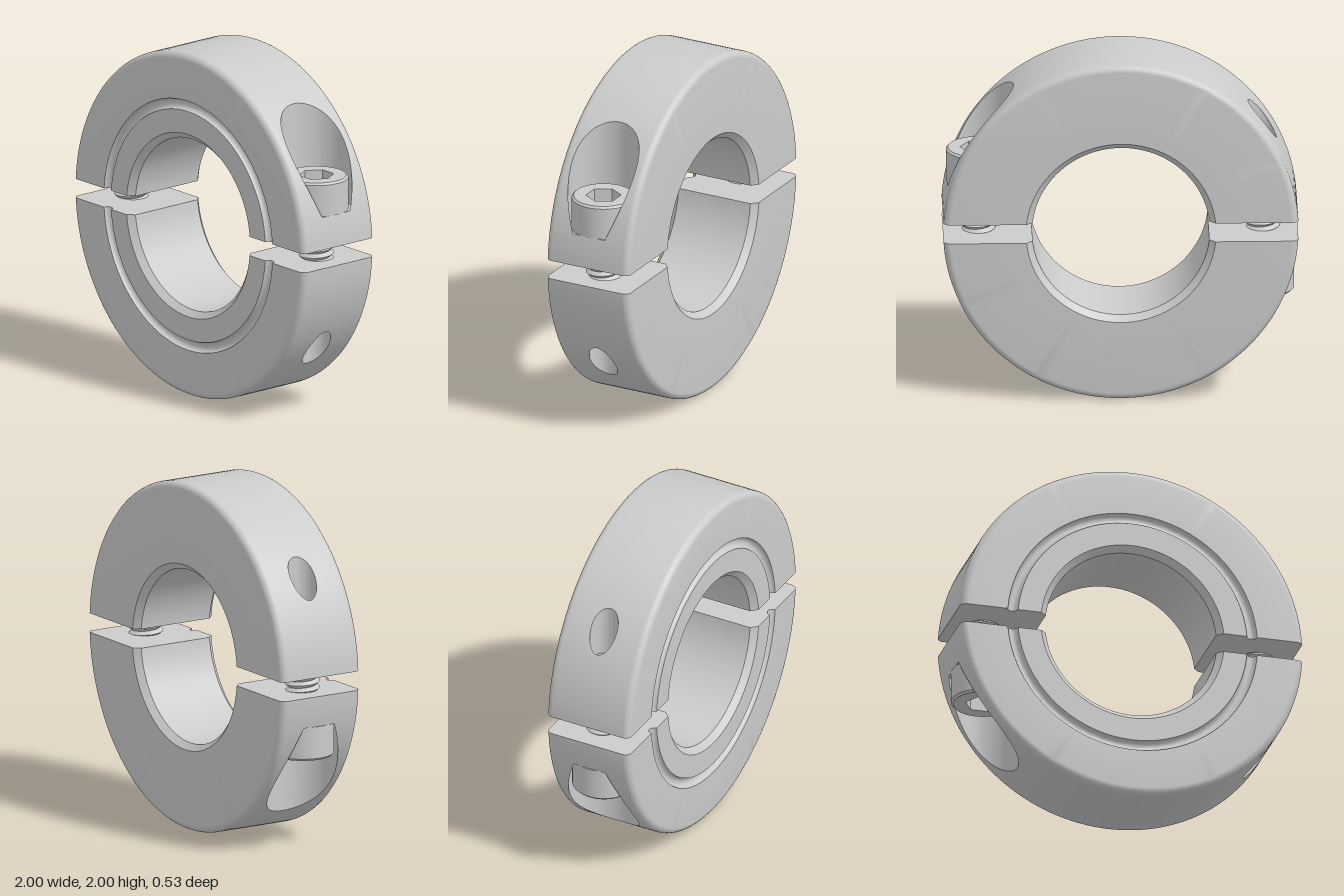
import * as THREE from 'three';
import { mergeGeometries, toCreasedNormals } from 'three/addons/utils/BufferGeometryUtils.js';

const GAP = 0.055;                 // half of the slit between the halves
const W = 0.265, FILLET = 0.04;    // half width, rounded outer edge
const SIDE = W - FILLET;           // half width of the straight outer wall
const BORE = 0.5, CHAMFER = 0.035;
const BOLT_X = 0.8, FLOOR = 0.235; // screw axis and pocket floor
const POCKET_R = 0.2, HOLE_R = 0.08;
const N = 28;                      // samples along half of a hole rim

const material = new THREE.MeshStandardMaterial({ color: 0xcccccc });

function mesh(name, geometry) {
  const m = new THREE.Mesh(geometry, material);
  m.name = name;
  return m;
}

function quad(out, a, b, c, d) {
  out.push(...a, ...b, ...c, ...a, ...c, ...d);
}

function smooth(positions) {
  const g = new THREE.BufferGeometry();
  g.setAttribute('position', new THREE.Float32BufferAttribute(positions, 3));
  return toCreasedNormals(g, 0.5);
}

// angles round a vertical hole, from its outer end (start) to its inner end
const rim = (start, end) => Array.from({ length: N + 1 }, (_, i) => start + (end - start) * i / N);
const phi0 = Math.acos((Math.sqrt(1 - FLOOR * FLOOR) - BOLT_X) / POCKET_R);

// vertical bores that break through the outer wall
const bores = [
  { name: 'screwPocketWall', x: BOLT_X, r: POCKET_R, start: phi0, bottom: FLOOR },
  { name: 'threadedHoleWall', x: -BOLT_X, r: HOLE_R, start: 0, bottom: GAP },
];
for (const b of bores) {
  b.thetas = rim(b.start, Math.PI).map(p => Math.acos(b.x + b.r * Math.cos(p))).sort((p, q) => p - q);
  b.from = b.thetas[0];
  b.to = b.thetas[N];
}

// ring cross-section as [radius, z], from the outer front edge round to the outer back edge
function ringProfile() {
  const p = [];
  const arc = (r, z, rad, a0, a1, n) => {
    for (let i = 0; i <= n; i++) {
      const a = a0 + (a1 - a0) * i / n;
      p.push([r + rad * Math.cos(a), z + rad * Math.sin(a)]);
    }
  };
  arc(1 - FILLET, SIDE, FILLET, 0, Math.PI / 2, 6);
  arc(0.7, W, 0.03, 0, -Math.PI, 10); // round groove in the front face
  p.push([BORE + CHAMFER, W], [BORE, W - CHAMFER], [BORE, CHAMFER - W], [BORE + CHAMFER, -W]);
  arc(1 - FILLET, -SIDE, FILLET, -Math.PI / 2, 0, 6);
  return p;
}

function ringBody() {
  const profile = ringProfile();
  const start = Math.asin(GAP);
  const span = Math.PI - 2 * start;
  const inside = (t, b) => t > b.from && t < b.to;
  let thetas = Array.from({ length: 73 }, (_, i) => start + span * i / 72)
    .filter(t => !bores.some(b => inside(t, b)));
  thetas = thetas.concat(...bores.map(b => b.thetas)).sort((a, b) => a - b);

  // every radius starts on the flat slit plane
  const at = (theta, [r, z]) => {
    const s = Math.asin(GAP / r);
    const a = s + (Math.PI - 2 * s) * (theta - start) / span;
    return [r * Math.cos(a), r * Math.sin(a), z];
  };
  const halfOpening = (t, b) =>
    Math.sqrt(Math.max(0, b.r * b.r - (Math.cos(t) - b.x) ** 2));

  const pos = [];
  for (let i = 0; i + 1 < thetas.length; i++) {
    const a = thetas[i], b = thetas[i + 1];
    const strip = (za0, zb0, za1, zb1) =>
      quad(pos, at(a, [1, za0]), at(b, [1, zb0]), at(b, [1, zb1]), at(a, [1, za1]));
    // outer wall, left open where a bore breaks through
    const bore = bores.find(h => inside((a + b) / 2, h));
    if (bore) {
      const ha = halfOpening(a, bore), hb = halfOpening(b, bore);
      strip(-SIDE, -SIDE, -ha, -hb);
      strip(ha, hb, SIDE, SIDE);
    } else strip(-SIDE, -SIDE, SIDE, SIDE);
    // faces, groove and bore
    for (let j = 0; j + 1 < profile.length; j++)
      quad(pos, at(a, profile[j]), at(b, profile[j]), at(b, profile[j + 1]), at(a, profile[j + 1]));
  }
  return smooth(pos);
}

function slitFace(side) {
  const pts = ringProfile().map(([r, z]) => new THREE.Vector2(side * Math.sqrt(r * r - GAP * GAP), z));
  return new THREE.ShapeGeometry(new THREE.Shape(pts)).rotateX(Math.PI / 2).translate(0, GAP, 0);
}

function boreWall(b) {
  const half = rim(b.start, Math.PI);
  const angles = half.concat(half.slice(0, -1).reverse().map(p => 2 * Math.PI - p));
  const pos = [];
  const at = (p, top) => {
    const x = b.x + b.r * Math.cos(p);
    return [x, top ? Math.sqrt(1 - x * x) : b.bottom, b.r * Math.sin(p)];
  };
  for (let i = 0; i + 1 < angles.length; i++) {
    const p = angles[i], q = angles[i + 1];
    quad(pos, at(p, false), at(q, false), at(q, true), at(p, true));
  }
  return smooth(pos);
}

function pocketFloor() {
  const shape = new THREE.Shape();
  shape.absarc(BOLT_X, 0, POCKET_R, phi0, 2 * Math.PI - phi0, false);
  return new THREE.ShapeGeometry(shape, 2 * N).rotateX(-Math.PI / 2).translate(0, FLOOR, 0);
}

const lathe = (pts, n) =>
  toCreasedNormals(new THREE.LatheGeometry(pts.map(p => new THREE.Vector2(...p)), n), 0.5);

function capScrew() {
  const g = new THREE.Group();
  g.name = 'capScrew';
  const top = 0.43, socket = 0.1;

  // head side and hexagon socket
  g.add(mesh('screwHead', lathe([[0, FLOOR], [0.18, FLOOR], [0.18, top - 0.012], [0.168, top]], 48)));
  const face = new THREE.Shape().absarc(0, 0, 0.168, 0, 2 * Math.PI, false);
  const hex = Array.from({ length: 6 }, (_, i) =>
    new THREE.Vector2(socket * Math.cos(i * Math.PI / 3), socket * Math.sin(i * Math.PI / 3)));
  face.holes.push(new THREE.Path(hex));
  const headTop = new THREE.ExtrudeGeometry(face, { depth: 0.1, bevelEnabled: false, curveSegments: 24 });
  g.add(mesh('screwHeadTop', headTop.rotateX(-Math.PI / 2).translate(0, top - 0.1, 0)));
  const bottom = new THREE.ShapeGeometry(new THREE.Shape(hex));
  g.add(mesh('socketBottom', bottom.rotateX(-Math.PI / 2).translate(0, top - 0.1, 0)));

  // shank with chamfered tip
  g.add(mesh('screwShank', lathe([[0, -0.4], [0.065, -0.4], [0.078, -0.385], [0.078, FLOOR]], 32)));

  // thread ridges, sheared into a helix
  const pitch = 0.037, turns = 6, pts = [];
  for (let i = 0; i <= 2 * turns; i++)
    pts.push(new THREE.Vector2(i % 2 ? 0.1 : 0.079, (i / 2 - turns / 2 - 0.5) * pitch));
  const thread = new THREE.LatheGeometry(pts, 40);
  const p = thread.attributes.position, uv = thread.attributes.uv;
  for (let i = 0; i < p.count; i++) p.setY(i, p.getY(i) + uv.getX(i) * pitch);
  g.add(mesh('screwThread', toCreasedNormals(thread, 0.5)));

  g.position.x = BOLT_X;
  return g;
}

function collarHalf(name) {
  const g = new THREE.Group();
  g.name = name;
  g.add(mesh('ringBody', ringBody()));
  g.add(mesh('slitFaces', mergeGeometries([slitFace(1), slitFace(-1)])));
  for (const b of bores) g.add(mesh(b.name, boreWall(b)));
  g.add(mesh('screwPocketFloor', pocketFloor()));
  g.add(capScrew());
  return g;
}

export function createModel() {
  const model = new THREE.Group();
  model.name = 'splitShaftCollar';
  const upper = collarHalf('upperHalf');
  const lower = collarHalf('lowerHalf');
  lower.rotation.z = Math.PI;
  upper.position.y = lower.position.y = 1;
  model.add(upper, lower);
  return model;
}
